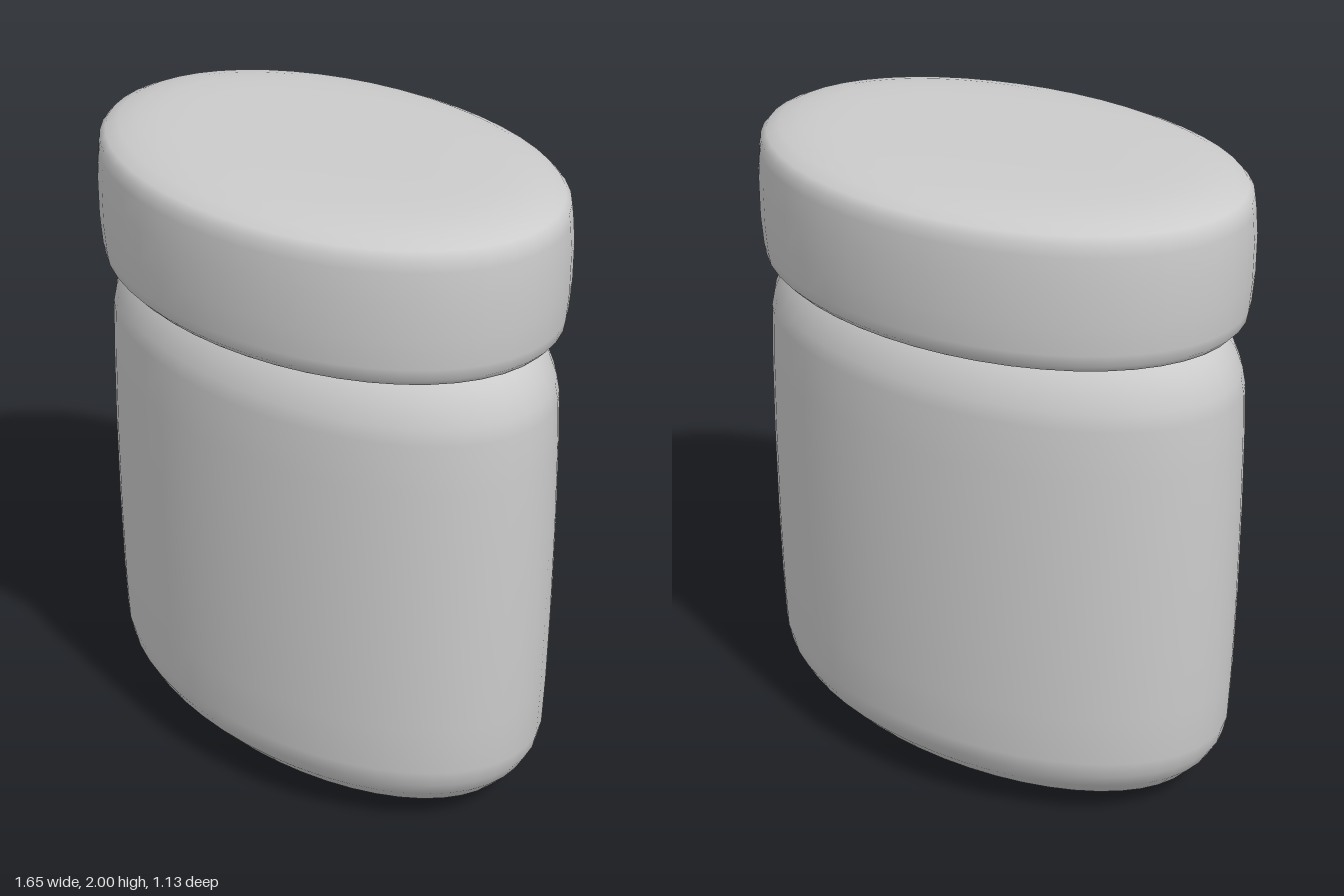
import * as THREE from 'three';

const SEGMENTS = 48;

// Stacks elliptical rings [inset, y] from bottom to top and closes both ends.
function ellipticalSolid(name, rx, rz, rings, material) {
  const positions = [];
  const index = [];
  for (const [inset, y] of rings) {
    for (let i = 0; i < SEGMENTS; i++) {
      const a = (i / SEGMENTS) * Math.PI * 2;
      positions.push((rx - inset) * Math.cos(a), y, (rz - inset) * Math.sin(a));
    }
  }
  const bottom = rings.length * SEGMENTS;
  const top = bottom + 1;
  positions.push(0, rings[0][1], 0, 0, rings[rings.length - 1][1], 0);
  const last = (rings.length - 1) * SEGMENTS;
  for (let i = 0; i < SEGMENTS; i++) {
    const j = (i + 1) % SEGMENTS;
    for (let r = 0; r < rings.length - 1; r++) {
      const a = r * SEGMENTS + i, b = r * SEGMENTS + j;
      const c = a + SEGMENTS, d = b + SEGMENTS;
      index.push(a, c, b, b, c, d);
    }
    index.push(bottom, i, j, top, last + j, last + i);
  }
  const geometry = new THREE.BufferGeometry();
  geometry.setAttribute('position', new THREE.Float32BufferAttribute(positions, 3));
  geometry.setIndex(index);
  geometry.computeVertexNormals();
  const mesh = new THREE.Mesh(geometry, material);
  mesh.name = name;
  return mesh;
}

export function createModel() {
  const group = new THREE.Group();
  group.name = 'jar';
  const grey = new THREE.MeshStandardMaterial({ color: 0xcccccc });

  // Oval body with a soft base and rounded shoulders running up into the lid
  group.add(ellipticalSolid('body', 0.825, 0.51, [
    [0.36, 0], [0.28, 0.005], [0.22, 0.015], [0.16, 0.04], [0.1, 0.08], [0.05, 0.135],
    [0.022, 0.185], [0.01, 0.24], [0.004, 0.4], [0, 0.65], [0, 0.95], [0.004, 1.2],
    [0.01, 1.36], [0.02, 1.41], [0.042, 1.465], [0.07, 1.505], [0.1, 1.535],
    [0.15, 1.56], [0.25, 1.575],
  ], grey));

  // Wide oval lid, rounded above and below
  group.add(ellipticalSolid('lid', 0.815, 0.565, [
    [0.3, 1.53], [0.16, 1.53], [0.08, 1.538], [0.035, 1.552], [0.013, 1.575], [0.007, 1.61],
    [0, 1.7], [0, 1.82], [0.007, 1.9], [0.012, 1.935], [0.03, 1.955], [0.07, 1.973],
    [0.13, 1.987], [0.2, 1.995], [0.3, 1.999], [0.42, 2],
  ], grey));

  return group;
}
